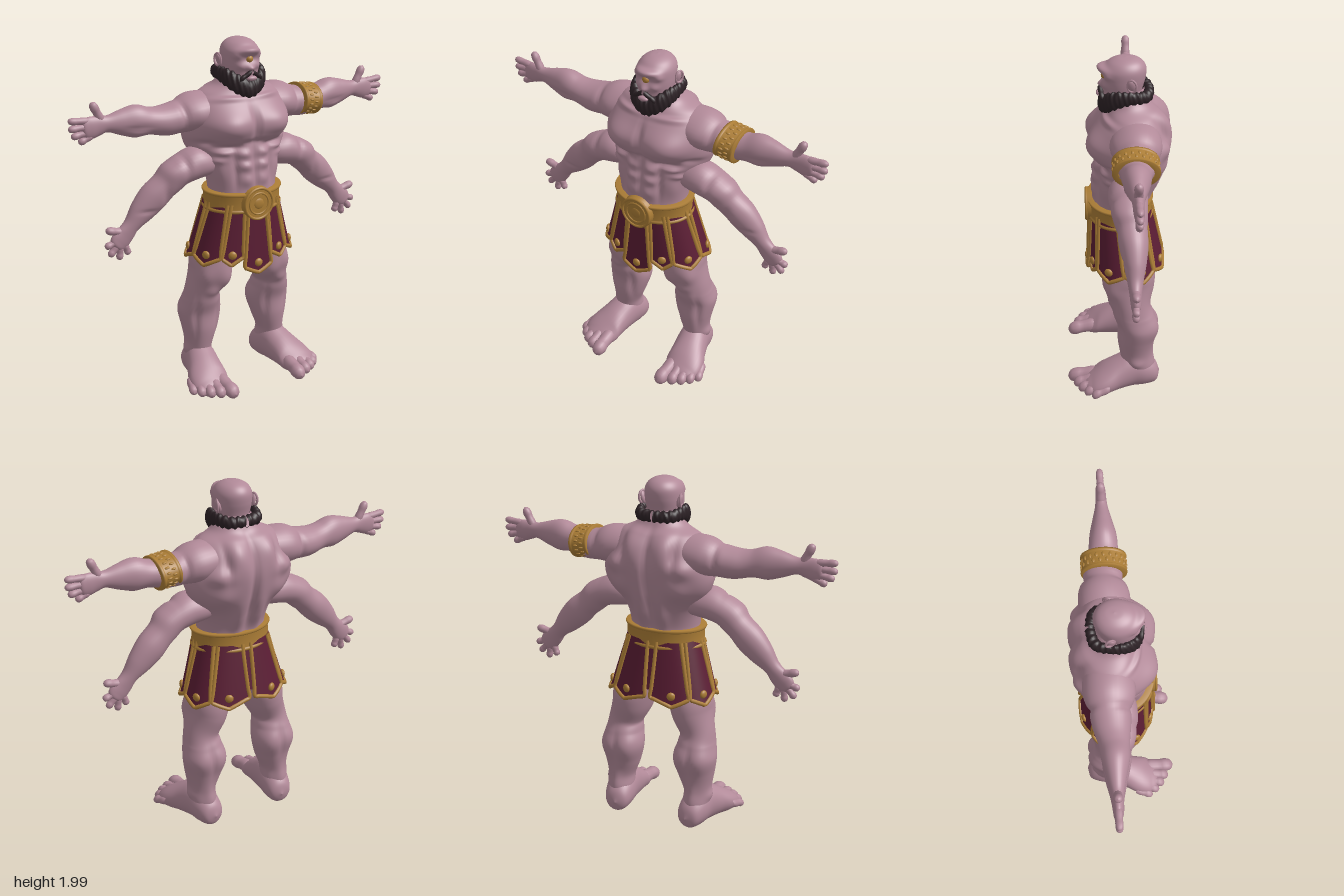
import * as THREE from 'three';
import { mergeGeometries } from 'three/addons/utils/BufferGeometryUtils.js';

const V = (x, y, z) => new THREE.Vector3(x, y, z);
const Y = V(0, 1, 0), Z = V(0, 0, 1);
const spline = points => new THREE.CatmullRomCurve3(points, false, 'catmullrom');
const both = bumps => bumps.flatMap(b => [b, [-b[0], ...b.slice(1)]]);
const material = (name, color) => Object.assign(new THREE.MeshStandardMaterial({ color }), { name });

// Smooth skin over elliptical sections [x, y, z, halfSide, halfDepth]; depth is the ring's fixed axis
function loft(sections, depth = Z, rows = 50, sides = 32) {
  const path = spline(sections.map(s => V(s[0], s[1], s[2]))), size = spline(sections.map(s => V(s[3], s[4], 0)));
  const pos = [], index = [];
  for (let i = 0; i <= rows; i++) {
    const c = path.getPoint(i / rows), r = size.getPoint(i / rows);
    const side = depth.clone().cross(path.getTangent(i / rows)).normalize();
    for (let j = 0; j < sides; j++) {
      const t = j / sides * Math.PI * 2;
      pos.push(...c.clone().addScaledVector(side, Math.max(r.x, 0.0005) * Math.cos(t))
        .addScaledVector(depth, Math.max(r.y, 0.0005) * Math.sin(t)));
      const a = i * sides + j, b = i * sides + (j + 1) % sides;
      if (i < rows) index.push(a, b, a + sides, b, b + sides, a + sides);
    }
  }
  const g = new THREE.BufferGeometry();
  g.setAttribute('position', new THREE.Float32BufferAttribute(pos, 3));
  g.setIndex(index);
  g.computeVertexNormals();
  return g;
}

// Move every vertex of a geometry by a rule
function reshape(g, rule) {
  const p = g.attributes.position;
  for (let i = 0; i < p.count; i++) p.setXYZ(i, ...rule(p.getX(i), p.getY(i), p.getZ(i), i));
  g.computeVertexNormals();
  return g;
}

// Raise (or with a negative height, carve) soft bumps [x, y, z, rx, ry, rz, height] along the normals
function sculpt(g, bumps) {
  const n = g.attributes.normal.clone();
  return reshape(g, (px, py, pz, i) => {
    let h = 0;
    for (const [x, y, z, rx, ry, rz, k] of bumps)
      h += k * Math.exp(-(((px - x) / rx) ** 2) - ((py - y) / ry) ** 2 - ((pz - z) / rz) ** 2);
    return [px + n.getX(i) * h, py + n.getY(i) * h, pz + n.getZ(i) * h];
  });
}

// Finger, toe or lock of hair with a rounded tip
function digit(from, to, r, depth) {
  const steps = [[0, 0.85], [0.2, 1], [0.5, 0.9], [0.72, 1], [0.92, 0.72], [1, 0]];
  const a = V(...from), b = V(...to);
  return loft(steps.map(([t, k]) => [...a.clone().lerp(b, t), r * k, r * k]), depth, 14, 12);
}

function mirrored(g) {
  const m = g.clone().scale(-1, 1, 1), ix = m.index.array;
  for (let i = 0; i < ix.length; i += 3) [ix[i], ix[i + 1]] = [ix[i + 1], ix[i]];
  m.computeVertexNormals();
  return m;
}

export function createModel() {
  const model = new THREE.Group();
  const skin = material('skin', 0xb28a99), gold = material('gold', 0xab7d36);
  const cloth = material('crimson cloth', 0x5b1d34), hair = material('dark hair', 0x2d2226);
  cloth.side = THREE.DoubleSide;
  const add = (name, geo, mat, parent = model) => {
    const m = new THREE.Mesh(geo, mat);
    m.name = name;
    parent.add(m);
    return m;
  };
  const pair = (name, geo, mat = skin) => {
    add('left' + name, geo, mat);
    add('right' + name, mirrored(geo), mat);
  };
  const ball = (name, mat, p, s, parent) => {
    const m = add(name, new THREE.SphereGeometry(1, 20, 14), mat, parent);
    m.position.set(...p);
    m.scale.set(...s);
    return m;
  };

  // Torso: chest, stomach blocks, flanks, back muscles and collar bones, then the middle grooves
  add('torso', sculpt(loft([
    [0, 1.0, -0.02, 0.18, 0.15], [0, 1.1, -0.02, 0.2, 0.165], [0, 1.18, -0.02, 0.2, 0.16],
    [0, 1.28, -0.04, 0.215, 0.175], [0, 1.38, -0.07, 0.26, 0.19], [0, 1.48, -0.08, 0.295, 0.205],
    [0, 1.56, -0.08, 0.3, 0.205], [0, 1.64, -0.078, 0.28, 0.18], [0, 1.7, -0.08, 0.225, 0.14],
    [0, 1.745, -0.065, 0.14, 0.11], [0, 1.82, -0.05, 0.09, 0.09]], Z, 130, 110), [
    ...both([
      [0.14, 1.535, 0.12, 0.12, 0.08, 0.13, 0.064], [0.14, 1.418, 0.11, 0.08, 0.018, 0.1, -0.026],
      [0.04, 1.44, 0.13, 0.04, 0.018, 0.1, -0.014], [0.25, 1.445, 0.06, 0.05, 0.02, 0.1, -0.02],
      [0.058, 1.375, 0.14, 0.038, 0.026, 0.08, 0.02], [0.056, 1.31, 0.14, 0.038, 0.026, 0.08, 0.02],
      [0.05, 1.23, 0.14, 0.036, 0.036, 0.08, 0.014], [0.11, 1.3, 0.1, 0.014, 0.1, 0.08, -0.014],
      [0.17, 1.27, 0.06, 0.04, 0.07, 0.07, 0.014], [0.17, 1.39, 0.07, 0.04, 0.016, 0.06, 0.014],
      [0.2, 1.345, 0.05, 0.04, 0.016, 0.06, 0.014], [0.27, 1.44, -0.12, 0.09, 0.11, 0.12, 0.032],
      [0.09, 1.63, -0.22, 0.055, 0.09, 0.09, 0.03], [0.19, 1.54, -0.24, 0.06, 0.045, 0.09, 0.026],
      [0.17, 1.42, -0.24, 0.06, 0.06, 0.09, 0.018], [0.15, 1.6, -0.24, 0.018, 0.08, 0.08, -0.018],
      [0.06, 1.26, -0.22, 0.035, 0.13, 0.08, 0.022], [0.12, 1.675, 0.05, 0.1, 0.014, 0.06, 0.014]]),
    [0, 1.54, 0.14, 0.016, 0.09, 0.1, -0.026], [0, 1.3, 0.14, 0.012, 0.14, 0.1, -0.012],
    [0, 1.42, -0.27, 0.022, 0.26, 0.12, -0.028]]), skin);

  // Upper pair of arms with fanned fingers and raised thumb
  const hand = (tips, r, z) => tips.map(([a, b, k = 1]) => digit([...a, z], [...b, z], r * k));
  pair('UpperArm', mergeGeometries([sculpt(loft([
    [0.06, 1.61, -0.09, 0.07, 0.08], [0.16, 1.605, -0.09, 0.1, 0.125], [0.27, 1.597, -0.095, 0.104, 0.13],
    [0.36, 1.585, -0.09, 0.088, 0.11], [0.46, 1.58, -0.085, 0.078, 0.095], [0.54, 1.588, -0.078, 0.074, 0.08],
    [0.62, 1.598, -0.075, 0.088, 0.073], [0.7, 1.602, -0.075, 0.07, 0.055], [0.78, 1.605, -0.075, 0.045, 0.036],
    [0.83, 1.602, -0.075, 0.053, 0.03], [0.88, 1.595, -0.075, 0.06, 0.028], [0.915, 1.592, -0.075, 0.045, 0.022],
    [0.925, 1.592, -0.075, 0, 0]], Z, 80), [
    [0.27, 1.6, 0.04, 0.07, 0.07, 0.05, 0.014], [0.28, 1.69, -0.1, 0.07, 0.04, 0.08, 0.008],
    [0.43, 1.53, -0.07, 0.06, 0.05, 0.09, 0.01], [0.36, 1.62, 0.0, 0.016, 0.08, 0.06, -0.014],
    [0.36, 1.6, -0.19, 0.016, 0.08, 0.05, -0.014], [0.62, 1.57, 0.0, 0.07, 0.012, 0.05, -0.012]]),
    ...hand([[[0.885, 1.635], [1.0, 1.645]], [[0.895, 1.605], [1.0, 1.6]], [[0.895, 1.575], [0.985, 1.558]],
      [[0.87, 1.555], [0.945, 1.522]], [[0.81, 1.62], [0.865, 1.73], 1.2]], 0.02, -0.075)]));

  // Lower pair of arms
  pair('LowerArm', mergeGeometries([sculpt(loft([
    [0.12, 1.31, -0.06, 0.06, 0.06], [0.22, 1.322, -0.05, 0.08, 0.1], [0.31, 1.315, -0.047, 0.086, 0.105],
    [0.39, 1.285, -0.05, 0.08, 0.098], [0.46, 1.225, -0.06, 0.075, 0.083], [0.53, 1.16, -0.068, 0.083, 0.077],
    [0.6, 1.09, -0.072, 0.07, 0.06], [0.66, 1.025, -0.072, 0.047, 0.042], [0.7, 0.978, -0.072, 0.053, 0.033],
    [0.735, 0.942, -0.072, 0.056, 0.028], [0.758, 0.918, -0.072, 0.04, 0.022],
    [0.765, 0.911, -0.072, 0, 0]], Z, 80), [
    [0.29, 1.39, -0.03, 0.05, 0.05, 0.09, 0.012], [0.37, 1.34, 0.02, 0.018, 0.06, 0.08, -0.014],
    [0.45, 1.3, -0.04, 0.04, 0.04, 0.08, 0.014], [0.4, 1.21, -0.05, 0.05, 0.04, 0.08, 0.008],
    [0.48, 1.18, 0.02, 0.018, 0.06, 0.05, -0.01], [0.59, 1.1, 0.0, 0.05, 0.012, 0.04, -0.008]]),
    ...hand([[[0.75, 0.945], [0.822, 0.922]], [[0.745, 0.925], [0.8, 0.866]], [[0.73, 0.915], [0.74, 0.836]],
      [[0.705, 0.92], [0.683, 0.858]], [[0.7, 0.99], [0.815, 1.018], 1.15]], 0.02, -0.072)]));

  // Legs
  pair('Leg', sculpt(loft([
    [0.24, 0.06, -0.12, 0.06, 0.07], [0.243, 0.14, -0.115, 0.076, 0.09], [0.244, 0.22, -0.1, 0.078, 0.09],
    [0.235, 0.32, -0.1, 0.104, 0.105], [0.23, 0.42, -0.108, 0.124, 0.114], [0.23, 0.5, -0.085, 0.108, 0.115],
    [0.225, 0.57, -0.07, 0.098, 0.11], [0.19, 0.67, -0.06, 0.112, 0.142], [0.172, 0.76, -0.058, 0.118, 0.146],
    [0.135, 0.88, -0.05, 0.105, 0.12], [0.105, 1.0, -0.03, 0.075, 0.1], [0.1, 1.06, -0.03, 0.04, 0.05]], Z, 90, 48), [
    [0.225, 0.575, 0.04, 0.04, 0.035, 0.05, 0.014], [0.15, 0.65, 0.04, 0.045, 0.06, 0.06, 0.02],
    [0.265, 0.67, 0.04, 0.04, 0.06, 0.06, 0.018], [0.17, 0.42, -0.2, 0.05, 0.09, 0.07, 0.016],
    [0.29, 0.43, -0.2, 0.05, 0.09, 0.07, 0.014], [0.23, 0.42, -0.23, 0.014, 0.09, 0.05, -0.01],
    [0.3, 0.4, -0.02, 0.014, 0.13, 0.05, -0.012], [0.165, 0.4, -0.02, 0.014, 0.11, 0.05, -0.012],
    [0.24, 0.2, -0.19, 0.03, 0.07, 0.04, 0.012], [0.32, 0.19, -0.1, 0.03, 0.03, 0.04, 0.014]]));

  // Feet, splayed outward, with flat soles
  pair('Foot', reshape(mergeGeometries([loft([
    [0.225, 0.075, -0.24, 0, 0], [0.228, 0.08, -0.215, 0.06, 0.065], [0.238, 0.1, -0.15, 0.084, 0.1],
    [0.25, 0.115, -0.07, 0.09, 0.115], [0.27, 0.095, 0.02, 0.1, 0.098], [0.29, 0.07, 0.1, 0.114, 0.075],
    [0.295, 0.05, 0.16, 0.1, 0.052], [0.295, 0.042, 0.195, 0.06, 0.03], [0.295, 0.04, 0.205, 0, 0]], Y, 50),
    ...[[0.232, 0.12, 0.222, 0.298, 0.042], [0.285, 0.15, 0.288, 0.265, 0.032], [0.325, 0.13, 0.338, 0.238, 0.03],
      [0.36, 0.1, 0.38, 0.203, 0.028], [0.385, 0.06, 0.414, 0.16, 0.026]].map(([x0, z0, x1, z1, r]) =>
      digit([x0, 0.07, z0], [x1, 0.04, z1], r, Y))]), (x, y, z) => [x, Math.max(y, 0), z]));

  // Head with a heavy brow, nose, cheeks and one eye socket
  add('head', sculpt(loft([
    [0, 1.73, -0.03, 0.07, 0.08], [0, 1.78, -0.025, 0.088, 0.1], [0, 1.83, -0.028, 0.1, 0.108],
    [0, 1.88, -0.033, 0.104, 0.116], [0, 1.93, -0.038, 0.1, 0.114], [0, 1.965, -0.042, 0.078, 0.09],
    [0, 1.985, -0.045, 0.042, 0.05], [0, 1.991, -0.045, 0, 0]], Z, 80, 72), [
    [0, 1.928, 0.08, 0.065, 0.017, 0.05, 0.034], [0, 1.888, 0.085, 0.035, 0.02, 0.05, -0.016],
    [0, 1.842, 0.09, 0.02, 0.017, 0.05, 0.024],
    ...both([[0.07, 1.905, 0.06, 0.025, 0.018, 0.03, 0.012], [0.05, 1.85, 0.07, 0.025, 0.02, 0.03, 0.01]])]), skin);
  ball('eye', gold, [0, 1.888, 0.068], [0.021, 0.02, 0.019]);
  ball('lowerLip', skin, [0, 1.788, 0.098], [0.03, 0.014, 0.016]);
  for (const s of [-1, 1]) {
    ball('ear', skin, [s * 0.108, 1.87, -0.07], [0.014, 0.036, 0.024]).rotation.z = -s * 0.25;
    const rim = add('earRim', new THREE.TorusGeometry(0.024, 0.006, 8, 20), skin);
    rim.position.set(s * 0.115, 1.873, -0.072);
    rim.rotation.y = Math.PI / 2 - s * 0.3;
    rim.scale.y = 1.35;
  }

  // Beard: a band from the nape round the jaw, drawn down to a point and combed into fine locks
  const half = [[0, 1.797, -0.17, 0.026, 0.03], [0.085, 1.797, -0.145, 0.028, 0.032], [0.117, 1.802, -0.06, 0.02, 0.037],
    [0.105, 1.787, 0.01, 0.026, 0.05], [0.068, 1.757, 0.055, 0.03, 0.056]];
  add('beard', reshape(loft([...half, [0, 1.725, 0.07, 0.034, 0.05],
    ...half.map(([x, ...rest]) => [-x, ...rest]).reverse()], Y, 180, 24), (x, y, z) => {
    const a = Math.atan2(x, z + 0.05), k = 1 + 0.014 * Math.sin(a * 34 + y * 60);
    return [x * k, y + 0.004 * Math.sin(a * 23), (z + 0.05) * k - 0.05];
  }), hair);
  pair('Moustache', digit([0.004, 1.82, 0.092], [0.07, 1.78, 0.08], 0.015, Y), hair);

  // Rimmed band turned around y; used for the belt and the arm ring
  const band = (h, inner) => new THREE.LatheGeometry([[inner, -h], [1, -h], [1.02, -h * 0.85], [1, -h * 0.7], [0.97, -h * 0.65],
    [0.97, h * 0.65], [1, h * 0.7], [1.02, h * 0.85], [1, h], [inner, h]].map(p => new THREE.Vector2(...p)), 64);
  const belt = add('belt', band(0.056, 0.8), gold);
  belt.position.set(0, 1.11, -0.015);
  belt.rotation.x = 0.03;
  belt.scale.set(0.232, 1, 0.183);
  const armRing = new THREE.Group();
  armRing.name = 'armRing';
  armRing.position.set(0.452, 1.587, -0.08);
  armRing.rotation.z = Math.PI / 2 - 0.12;
  model.add(armRing);
  add('armBand', band(0.056, 0.75), gold, armRing).scale.set(0.089, 1, 0.122);
  for (let i = 0; i < 40; i++) {
    const a = i * Math.PI / 20;
    ball('armBead', gold, [0.085 * Math.cos(a), i % 2 ? 0.016 : -0.016, 0.117 * Math.sin(a)], [0.006, 0.014, 0.009], armRing);
  }

  // Round buckle
  const disc = add('buckle', new THREE.CylinderGeometry(0.092, 0.097, 0.03, 40), gold);
  disc.rotation.x = Math.PI / 2;
  disc.position.set(0, 1.1, 0.16);
  for (const [r, t] of [[0.087, 0.008], [0.06, 0.006]])
    add('buckleRing', new THREE.TorusGeometry(r, t, 8, 40), gold).position.set(0, 1.1, 0.174);
  ball('buckleBoss', gold, [0, 1.1, 0.172], [0.032, 0.032, 0.009]);

  // Skirt: flared lining, then pointed panels with gold edging and studs
  const bulge = v => Math.sign(v) * Math.abs(v) ** 0.86;
  const onSkirt = (deg, y, out = 0) => {
    const t = (1.1 - y) / 0.35, a = deg * Math.PI / 180;
    return V((0.213 + 0.1 * t + out) * bulge(Math.sin(a)), y, (0.165 + 0.045 * t + out) * bulge(Math.cos(a)) - 0.02 - 0.03 * t);
  };
  const sheet = (nu, nv, point) => reshape(new THREE.PlaneGeometry(1, 1, nu, nv), (x, y) => point(x * 2, 0.5 - y));
  add('skirtLining', sheet(90, 4, (u, v) => onSkirt(u * 180, 1.1 - 0.27 * v, -0.008)), cloth);
  const panels = [[0, 12.5, 0.735], ...both([[27, 13, 0.795], [64, 22.5, 0.795], [110, 22, 0.795], [156, 22.5, 0.795]])];
  for (const [c, w, edge] of panels) {
    const out = c === 0 ? 0.01 : 0.003, low = u => edge - 0.04 * (1 - Math.abs(u));
    add('skirtPanel', sheet(16, 8, (u, v) => onSkirt(c + u * w * (0.85 + 0.12 * v), 1.1 + (low(u) - 1.1) * v, out)), cloth);
    const sideEdge = s => Array.from({ length: 7 }, (_, i) =>
      onSkirt(c + s * w * (0.85 + 0.02 * i), 1.1 + (edge - 1.1) * i / 6, out));
    const hem = Array.from({ length: 11 }, (_, i) => onSkirt(c + w * 0.97 * (i - 5) / 6, low((i - 5) / 6), out));
    const outline = new THREE.CatmullRomCurve3([...sideEdge(-1), ...hem, ...sideEdge(1).reverse()]);
    add('panelTrim', new THREE.TubeGeometry(outline, 72, 0.0115, 8), gold);
    const stud = ball('panelStud', gold, onSkirt(c, edge + 0.018, out + 0.002), [0.024, 0.024, 0.014]);
    stud.rotation.y = c * Math.PI / 180;
  }
  return model;
}
